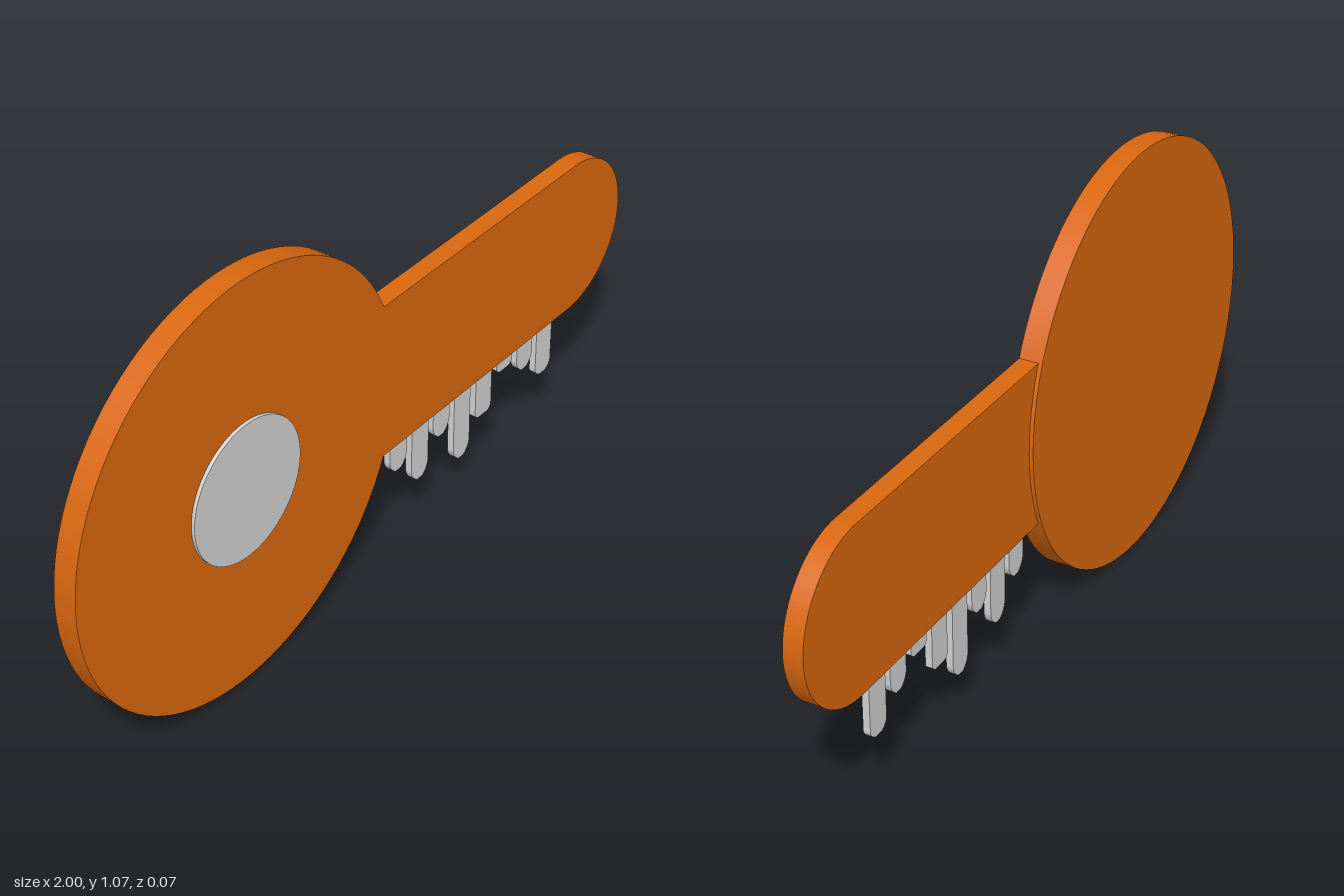
import * as THREE from 'three';

const CY = 0.537; // height of the key's long axis

export function createModel() {
  const key = new THREE.Group();
  key.name = 'key';
  const orange = new THREE.MeshStandardMaterial({ color: 0xd9670f });
  orange.name = 'orange';
  const silver = new THREE.MeshStandardMaterial({ color: 0xd2d2d2 });
  silver.name = 'silver';

  const add = (name, geometry, material) => {
    const mesh = new THREE.Mesh(geometry, material);
    mesh.name = name;
    key.add(mesh);
    return mesh;
  };
  // Flat disc facing +z between two depths
  const disc = (name, r, zBack, zFront, material) => {
    const g = new THREE.CylinderGeometry(r, r, zFront - zBack, 96).rotateX(Math.PI / 2);
    add(name, g, material).position.set(-0.465, CY, (zBack + zFront) / 2);
  };
  // Outline extruded between two depths
  const plate = (name, shape, zBack, zFront, material) => {
    const g = new THREE.ExtrudeGeometry(shape, {
      depth: zFront - zBack, bevelEnabled: false, curveSegments: 32,
    });
    add(name, g, material).position.z = zBack;
  };

  // Round head with a raised silver button on the front
  disc('head', 0.535, -0.033, 0.026, orange);
  disc('button', 0.178, 0.02, 0.035, silver);

  // Handle bar with a rounded tip
  const bar = new THREE.Shape();
  bar.moveTo(-0.1, CY - 0.21);
  bar.lineTo(0.79, CY - 0.21);
  bar.absarc(0.79, CY, 0.21, -Math.PI / 2, Math.PI / 2, false);
  bar.lineTo(-0.1, CY + 0.21);
  bar.closePath();
  plate('shaft', bar, -0.023, 0.026, orange);

  // Teeth: centre x, bottom y, half width of the flat tip, height of the rounded shoulder
  const teeth = [
    [0.108, 0.23, 0.01, 0.034], [0.194, 0.152, 0.01, 0.034],
    [0.279, 0.23, 0.01, 0.034], [0.365, 0.112, 0.01, 0.034],
    [0.454, 0.19, 0.02, 0.012], [0.541, 0.278, 0.02, 0.012],
    [0.628, 0.23, 0.01, 0.034], [0.713, 0.17, 0.012, 0.022],
  ];
  teeth.forEach(([x, y, tip, rise], i) => {
    const w = 0.033, s = new THREE.Shape();
    s.moveTo(x - w, 0.42);
    s.lineTo(x - w, y + rise);
    s.quadraticCurveTo(x - w + 0.004, y + rise * 0.35, x - tip, y);
    s.lineTo(x + tip, y);
    s.quadraticCurveTo(x + w - 0.004, y + rise * 0.35, x + w, y + rise);
    s.lineTo(x + w, 0.42);
    s.closePath();
    plate(`tooth${i + 1}`, s, -0.009, 0.009, silver);
  });

  return key;
}
